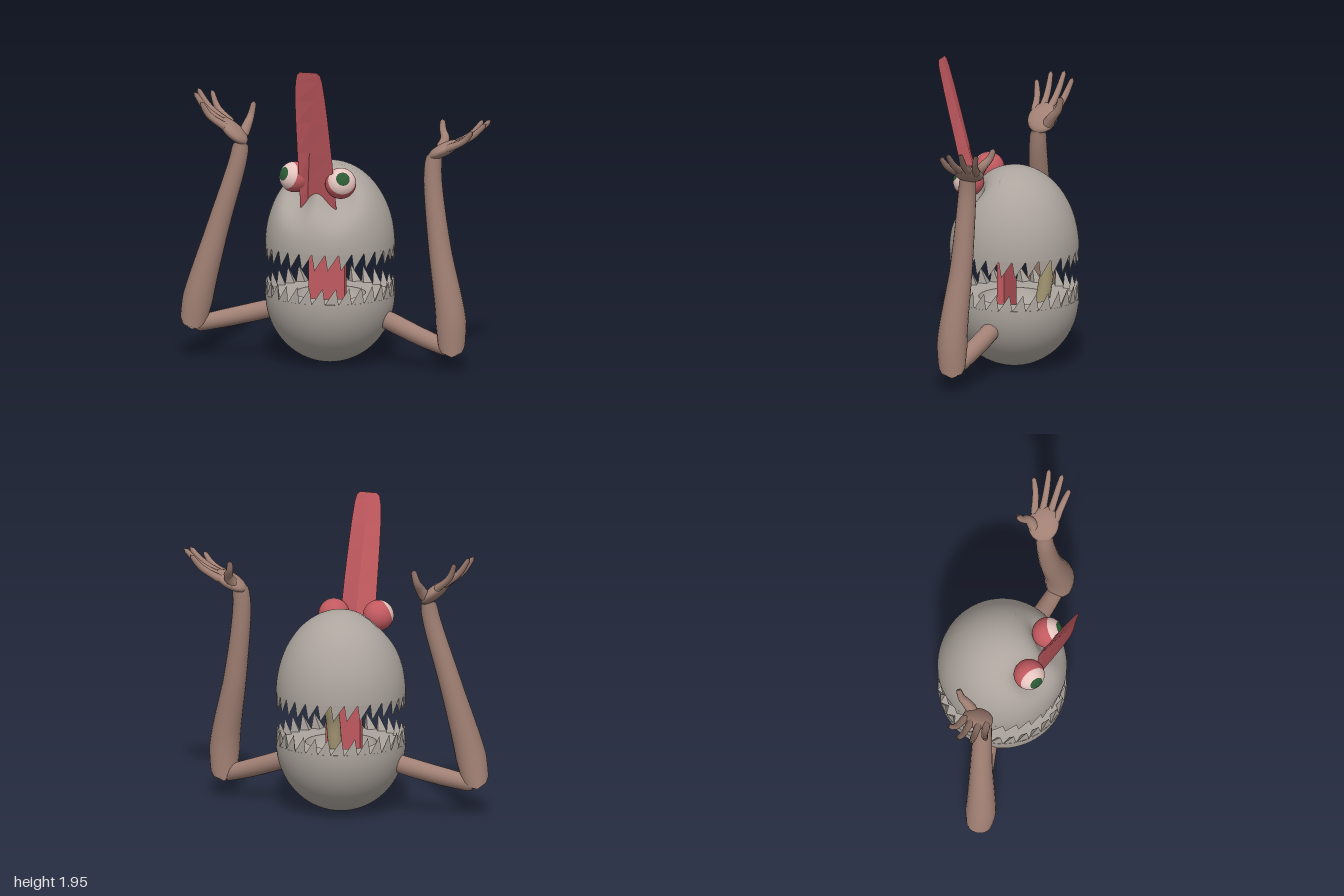
import * as THREE from 'three';

const V = (x, y, z) => new THREE.Vector3(x, y, z);
const CX = -0.07, CZ = -0.035, R = 0.41;
const LOW = 0.44, HIGH = 0.76;

function paint(name, color, side = THREE.FrontSide) {
  const m = new THREE.MeshStandardMaterial({ color, side });
  m.name = name;
  return m;
}

function add(parent, name, geometry, material) {
  const mesh = new THREE.Mesh(geometry, material);
  mesh.name = name;
  parent.add(mesh);
  return mesh;
}

// Tube with changing radius and rounded ends
function limb(points, radii, segs = 32, sides = 16) {
  const curve = new THREE.CatmullRomCurve3(points.map(p => V(...p)));
  const geo = new THREE.TubeGeometry(curve, segs, 1, sides);
  const length = curve.getLength();
  const pos = geo.attributes.position, p = V(0, 0, 0);
  for (let i = 0; i <= segs; i++) {
    const u = i / segs, c = curve.getPointAt(u);
    const f = u * (radii.length - 1), k = Math.min(Math.floor(f), radii.length - 2);
    let r = THREE.MathUtils.lerp(radii[k], radii[k + 1], f - k);
    const d = 1 - Math.min(1, Math.min(u, 1 - u) * length / r);
    r *= Math.sqrt(Math.max(0, 1 - d * d));
    for (let j = 0; j <= sides; j++) {
      const n = i * (sides + 1) + j;
      p.fromBufferAttribute(pos, n).sub(c).multiplyScalar(r).add(c);
      pos.setXYZ(n, p.x, p.y, p.z);
    }
  }
  return geo;
}

// Ring of slanted pyramid teeth on the rim, dir +1 up or -1 down
function teeth(y, dir) {
  const count = 30, out = [];
  const at = (a, r, h) => [r * Math.sin(a), h, r * Math.cos(a)];
  for (let i = 0; i < count; i++) {
    const step = Math.PI * 2 / count, a = i * step;
    const p = at(a, R, y), q = at(a + step, R, y);
    const inner = at(a + step / 2, R - 0.04, y);
    const tip = at(a + step * (0.5 + dir * 0.32), R - 0.005, y + dir * 0.105);
    const faces = [[p, q, tip], [q, inner, tip], [inner, p, tip]];
    for (const face of faces) {
      if (dir < 0) face.reverse();
      face.forEach(v => out.push(...v));
    }
  }
  const geo = new THREE.BufferGeometry();
  geo.setAttribute('position', new THREE.Float32BufferAttribute(out, 3));
  geo.computeVertexNormals();
  return geo.translate(CX, 0, CZ);
}

// Half ellipsoid revolved from its lower edge to its upper edge
function dome(y, height, from, to) {
  const pts = [];
  for (let i = 0; i <= 32; i++) {
    const a = THREE.MathUtils.lerp(from, to, i / 32);
    pts.push(new THREE.Vector2(Math.max(0, R * Math.cos(a)), y + height * Math.sin(a)));
  }
  return new THREE.LatheGeometry(pts, 72, Math.PI).translate(CX, 0, CZ);
}

// Flat rim leading into a shallow hollow
function mouthFloor(y, dir) {
  const g = new THREE.Group();
  return { g, rim: [[R, y], [0.225, y]], hollow: [[0.225, y], [0.2, y - dir * 0.06], [0.12, y - dir * 0.1], [0, y - dir * 0.11]] };
}

// Folded tongue, built from four-cornered cross-sections
function tongueGeometry() {
  const rows = [ // y, left, right, crease
    [1.03, -0.19, 0.047, -0.15], [1.2, -0.187, 0.045, -0.135], [1.4, -0.183, 0.042, -0.11],
    [1.6, -0.178, 0.035, -0.08], [1.75, -0.172, 0.028, -0.05], [1.88, -0.16, 0.018, -0.015],
    [1.93, -0.147, 0.008, -0.01], [1.95, -0.125, -0.012, -0.04]];
  const rings = rows.map(([y, l, r, c]) => {
    const t = (y - 1.03) / 0.92, z = 0.195 + t * 0.255, d = 0.022 * (1 - t) + 0.002;
    return [[l, y, z + d], [c, y, z - d * 0.5], [r, y, z + d], [(l + r) / 2, y, z - d]];
  });
  const out = [];
  const quad = (a, b, c, d) => [a, b, c, a, c, d].forEach(v => out.push(...v));
  for (let i = 0; i < rings.length - 1; i++) {
    for (let j = 0; j < 4; j++) {
      const k = (j + 1) % 4;
      quad(rings[i][j], rings[i][k], rings[i + 1][k], rings[i + 1][j]);
    }
  }
  quad(...rings[rings.length - 1]);
  quad(...[...rings[0]].reverse());
  const geo = new THREE.BufferGeometry();
  geo.setAttribute('position', new THREE.Float32BufferAttribute(out, 3));
  geo.computeVertexNormals();
  return geo;
}

export function createModel() {
  const model = new THREE.Group();
  model.name = 'creature';
  const shell = paint('shell grey', 0xaca49d, THREE.DoubleSide);
  const skin = paint('skin brown', 0xa18074);
  const red = paint('flesh red', 0xc25a60);
  const white = paint('eye white', 0xf2cfca);
  const green = paint('iris green', 0x2c5a35);
  const tan = paint('throat tan', 0xa89a76);

  // Body halves
  add(model, 'lowerShell', dome(LOW, LOW, -Math.PI / 2, 0), shell);
  const top = dome(HIGH, 0.53, 0, Math.PI / 2);
  const pos = top.attributes.position;
  for (let i = 0; i < pos.count; i++) { // sockets pressed in below the eyes
    const x = pos.getX(i), y = pos.getY(i), z = pos.getZ(i);
    let push = 0;
    if (z > 0) for (const sx of [-0.21, 0.06])
      push += 0.115 * Math.exp(-((x - sx) ** 2) / 0.011 - ((y - 1.09) ** 2) / 0.014);
    pos.setZ(i, z - push);
  }
  top.computeVertexNormals();
  add(model, 'upperShell', top, shell);

  // Rims, hollows and teeth
  for (const [side, y, dir] of [['lower', LOW, 1], ['upper', HIGH, -1]]) {
    const { rim, hollow } = mouthFloor(y, dir);
    for (const [part, pts] of [['Rim', rim], ['Hollow', hollow]]) {
      if (dir < 0) pts.reverse();
      const line = pts.map(p => new THREE.Vector2(...p));
      add(model, side + part, new THREE.LatheGeometry(line, 64).translate(CX, 0, CZ), shell);
    }
    add(model, side + 'Teeth', teeth(y, dir), shell);
  }

  // Tongue and the parts inside the mouth
  add(model, 'tongue', tongueGeometry(), red);
  add(model, 'tongueRoot', new THREE.BoxGeometry(0.235, 0.48, 0.045).translate(-0.072, 0.6, 0.015), red);
  add(model, 'throatCord', limb([[-0.1, 0.34, -0.19], [-0.1, 0.46, -0.22], [-0.1, 0.6, -0.245],
    [-0.1, 0.72, -0.285], [-0.1, 0.83, -0.3]], [0.045, 0.045], 20), tan);

  // Eyes, coloured in bands around the gaze direction
  const eyes = [['rightEye', V(-0.235, 1.22, 0.195), V(-0.6, 0.32, 0.73)],
    ['leftEye', V(0.075, 1.2, 0.22), V(0.4, 0.48, 0.78)]];
  for (const [name, at, gaze] of eyes) {
    const eye = new THREE.Group();
    eye.name = name;
    const bands = [['iris', 0, 0.46, green], ['white', 0.46, 1.1, white], ['ball', 1.1, Math.PI, red]];
    for (const [part, a, b, mat] of bands)
      add(eye, part, new THREE.SphereGeometry(0.098, 36, 16, 0, Math.PI * 2, a, b - a), mat);
    eye.position.copy(at);
    eye.quaternion.setFromUnitVectors(V(0, 1, 0), gaze.normalize());
    model.add(eye);
  }

  // Arms and hands
  const arms = [{
    name: 'leftArm', s: 1,
    upper: [[0.2, 0.335, -0.02], [0.33, 0.285, -0.005], [0.55, 0.205, 0.04], [0.77, 0.135, 0.08]],
    fore: [[0.765, 0.09, 0.08], [0.757, 0.35, 0.08], [0.675, 0.8, 0.05], [0.625, 1.25, 0.03], [0.635, 1.4, 0.02]],
    palm: [0.69, 1.41, 0], tilt: 0.5, knuckle: [0.75, 1.445],
    tips: [[0.91, 1.59, -0.135], [0.985, 1.61, -0.055], [0.98, 1.6, 0.035], [0.91, 1.56, 0.105]],
    thumb: [[0.65, 1.39, -0.04], [0.67, 1.46, -0.09], [0.645, 1.51, -0.13], [0.635, 1.575, -0.155]]
  }, {
    name: 'rightArm', s: -1,
    upper: [[-0.34, 0.355, -0.02], [-0.48, 0.315, -0.005], [-0.7, 0.26, 0.03], [-0.94, 0.205, 0.08]],
    fore: [[-0.945, 0.175, 0.085], [-0.9, 0.4, 0.085], [-0.78, 0.85, 0.05], [-0.66, 1.27, 0.02], [-0.64, 1.4, 0.01]],
    palm: [-0.695, 1.45, 0], tilt: 0.72, knuckle: [-0.75, 1.5],
    tips: [[-0.88, 1.68, -0.135], [-0.95, 1.705, -0.055], [-0.945, 1.695, 0.035], [-0.88, 1.65, 0.11]],
    thumb: [[-0.65, 1.41, -0.04], [-0.63, 1.48, -0.09], [-0.62, 1.53, -0.13], [-0.605, 1.62, -0.155]]
  }];
  for (const a of arms) {
    const arm = new THREE.Group();
    arm.name = a.name;
    add(arm, 'upperArm', limb(a.upper, [0.058, 0.06, 0.058, 0.05]), skin);
    add(arm, 'forearm', limb(a.fore, [0.08, 0.098, 0.086, 0.074, 0.066, 0.06, 0.052], 40, 20), skin);
    const palm = add(arm, 'palm', new THREE.SphereGeometry(1, 24, 16), skin);
    palm.scale.set(0.115, 0.042, 0.098);
    palm.position.set(...a.palm);
    palm.rotation.z = a.s * a.tilt;
    a.tips.forEach((tip, i) => {
      const [kx, ky] = a.knuckle, kz = -0.07 + i * 0.045;
      const mid = [(kx + tip[0]) / 2 + a.s * 0.015, (ky + tip[1]) / 2 - 0.015, (kz + tip[2]) / 2];
      add(arm, 'finger', limb([[kx - a.s * 0.03, ky - 0.02, kz], mid, tip], [0.028, 0.022, 0.02, 0.014], 14, 10), skin);
    });
    add(arm, 'thumb', limb(a.thumb, [0.04, 0.032, 0.023, 0.017], 14, 10), skin);
    model.add(arm);
  }
  return model;
}
